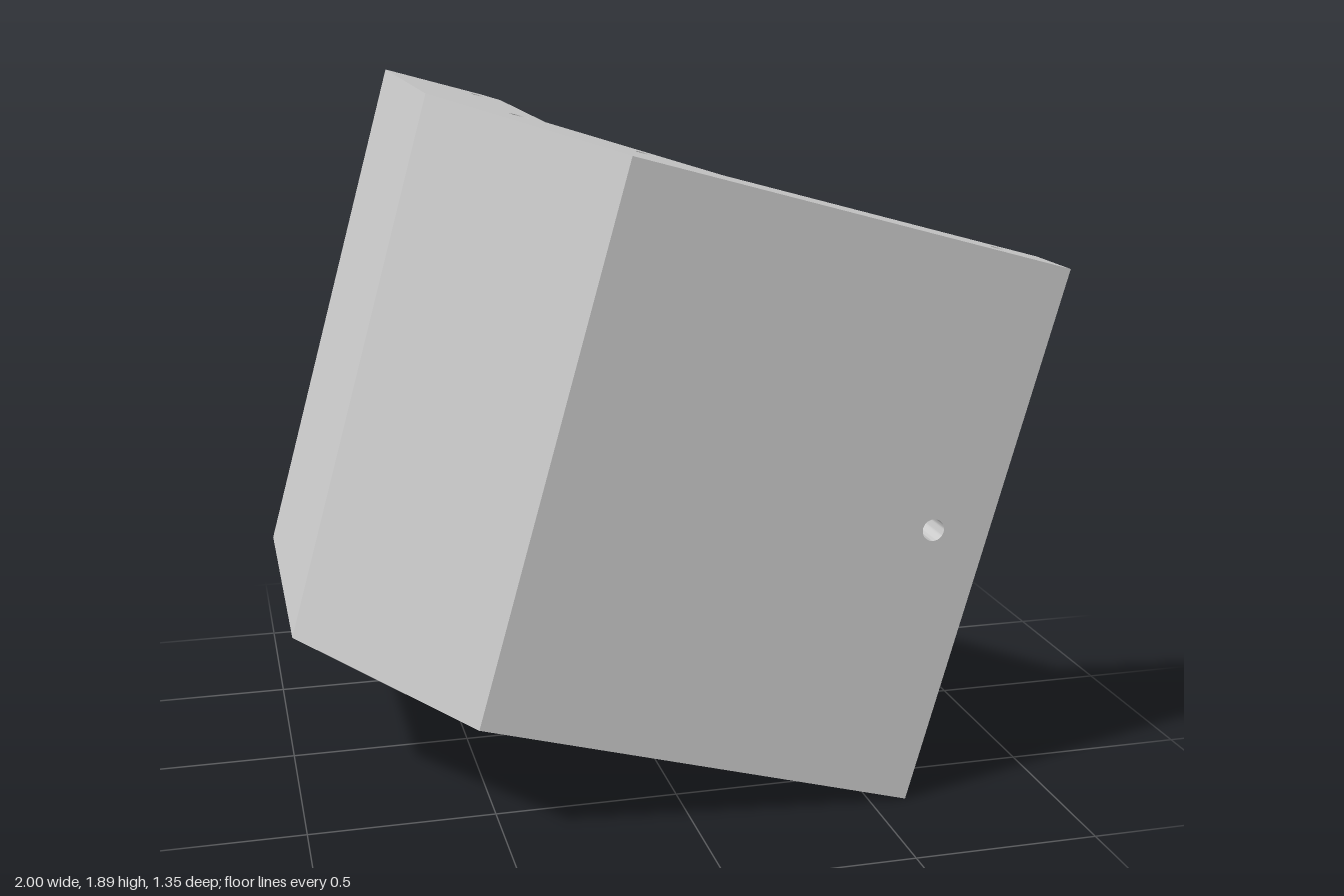
import * as THREE from 'three';
import { toCreasedNormals } from 'three/addons/utils/BufferGeometryUtils.js';

const material = new THREE.MeshStandardMaterial({ color: 0xcccccc });

// Half height, rib underside, rib counterbore floor, bottom of the blind edge holes
const TOP = 0.75, RIB = 0.652, STEP = 0.702, BLIND = 0.45;
const RIGHT = 0.83, SPLIT = 0.55, FRONT = 0.675, BACK = -0.675, INNER = 0.475;
const SMALL = 0.028, LARGE = 0.055;

// Outer side of the bent wall, shared by every cross-section, as [x, z]
const outer = [[-0.83, BACK], [-0.83, 0.22], [-0.38, FRONT]];
const ribSection = [...outer, [RIGHT, FRONT], [RIGHT, INNER], [-0.084, INNER],
  [-0.478, 0.078], [-0.478, -0.625], [-0.53, BACK]];
const wallSection = [...outer, [SPLIT, FRONT], [SPLIT, INNER], [-0.305, INNER],
  [-0.637, 0.142], [-0.637, BACK]];
const endSection = [[SPLIT, INNER], [RIGHT, INNER], [RIGHT, FRONT], [SPLIT, FRONT]];

const ribHoles = [[-0.556, -0.545], [-0.556, 0.107], [-0.27, 0.39]];
const edgeHole = [0.674, 0.573, SMALL];

function extrude(points, holes, depth) {
  const shape = new THREE.Shape(points.map(([x, y]) => new THREE.Vector2(x, y)));
  for (const [x, y, r] of holes) {
    const path = new THREE.Path();
    path.absarc(x, y, r, 0, Math.PI * 2, true);
    shape.holes.push(path);
  }
  const geo = new THREE.ExtrudeGeometry(shape, { depth, bevelEnabled: false, curveSegments: 24 });
  return toCreasedNormals(geo, 0.5);
}

// Upright slab with an [x, z] section between heights y0 and y1
function slab(name, section, holes, y0, y1) {
  const flip = section.map(([x, z]) => [x, -z]);
  const geo = extrude(flip, holes.map(([x, z, r]) => [x, -z, r]), y1 - y0);
  geo.rotateX(-Math.PI / 2).translate(0, y0, 0);
  const mesh = new THREE.Mesh(geo, material);
  mesh.name = name;
  return mesh;
}

export function createModel() {
  const bracket = new THREE.Group();
  bracket.name = 'bracket';

  // Bent wall between the ribs
  bracket.add(slab('bentWall', wallSection, [], -RIB, RIB));

  // Ribs with counterbored screw holes, and drilled ends of the front plate
  const screwHoles = [...ribHoles.map(([x, z]) => [x, z, SMALL]), edgeHole];
  const headHoles = [...ribHoles.map(([x, z]) => [x, z, LARGE]), edgeHole];
  for (const [side, s] of [['upper', 1], ['lower', -1]]) {
    const add = (part, section, holes, a, b) => bracket.add(
      slab(side + part, section, holes, Math.min(s * a, s * b), Math.max(s * a, s * b)));
    add('RibOuter', ribSection, screwHoles, STEP, TOP);
    add('RibCounterbore', ribSection, headHoles, RIB, STEP);
    add('PlateEnd', endSection, [edgeHole], BLIND, RIB);
  }

  // Middle of the plate end, with the hole through its face
  const middle = extrude(
    [[SPLIT, -BLIND], [RIGHT, -BLIND], [RIGHT, BLIND], [SPLIT, BLIND]],
    [[0.674, 0, 0.03]], FRONT - INNER);
  middle.translate(0, 0, INNER);
  const plate = new THREE.Mesh(middle, material);
  plate.name = 'plateMiddle';
  bracket.add(plate);

  // Lean the whole bracket sideways and rest its lowest corner on the ground
  bracket.rotation.z = -THREE.MathUtils.degToRad(15.5);
  bracket.position.y = 0.945;

  const model = new THREE.Group();
  model.name = 'tiltedBracket';
  model.add(bracket);
  return model;
}
